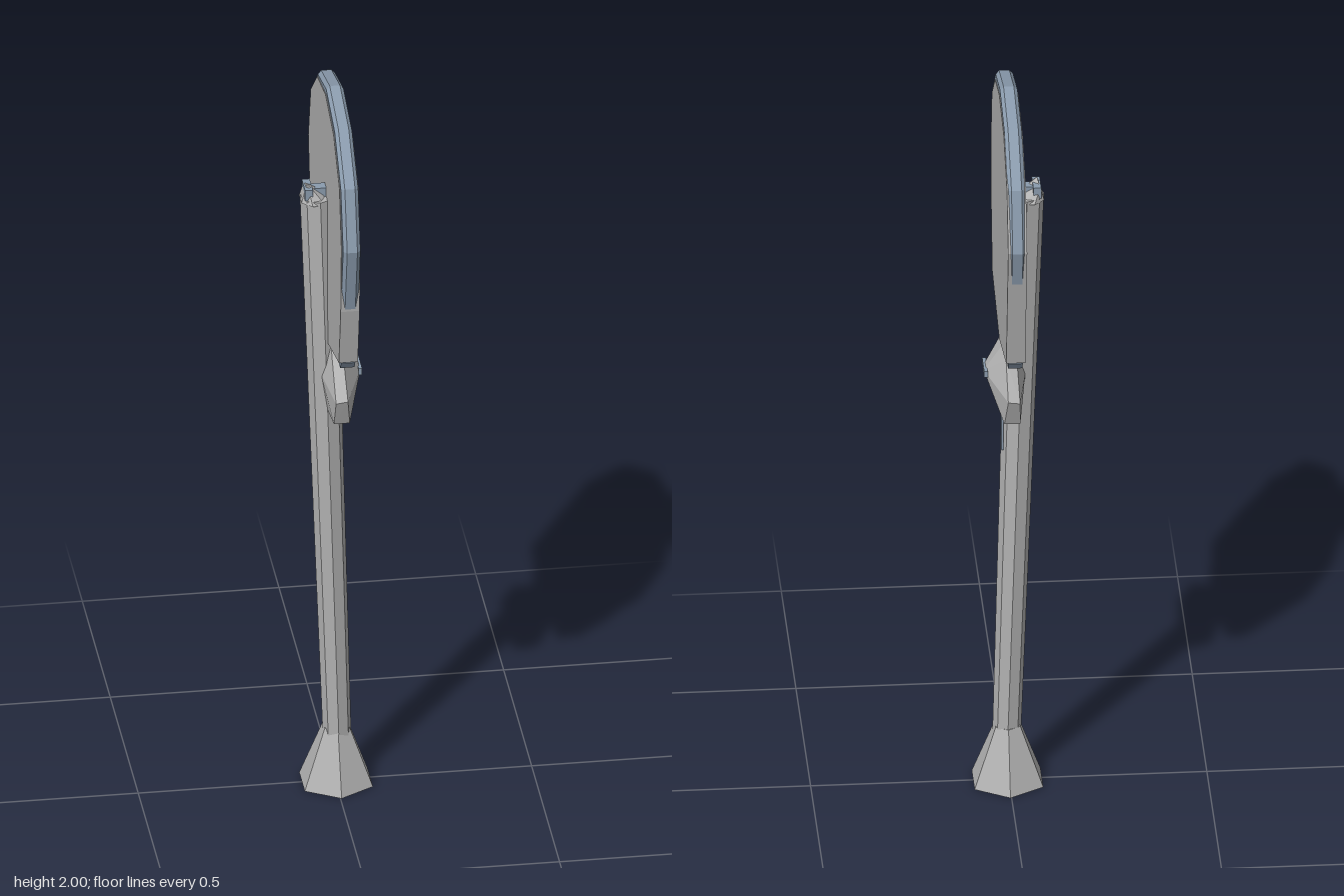
import * as THREE from 'three';
import { ConvexGeometry } from 'three/addons/geometries/ConvexGeometry.js';

export function createModel() {
  const group = new THREE.Group();
  const grey = new THREE.MeshStandardMaterial({ color: 0xb2b2b2, flatShading: true });
  grey.name = 'weathered grey';
  const steel = new THREE.MeshStandardMaterial({ color: 0x8b9cae, flatShading: true });
  steel.name = 'blue steel';

  const add = (name, geometry, material, x = 0, y = 0, z = 0) => {
    const mesh = new THREE.Mesh(geometry, material);
    mesh.name = name;
    mesh.position.set(x, y, z);
    group.add(mesh);
    return mesh;
  };

  // Extrude a (z, y) outline across x, centred at x = 0
  const slab = (points, depth, bevel = 0) => {
    const shape = new THREE.Shape(points.map(([z, y]) => new THREE.Vector2(z, y)));
    const geometry = new THREE.ExtrudeGeometry(shape, {
      depth, bevelEnabled: bevel > 0, bevelThickness: bevel,
      bevelSize: bevel, bevelOffset: -bevel, bevelSegments: 1,
    });
    return geometry.translate(0, 0, -depth / 2).rotateY(-Math.PI / 2);
  };

  // Flared six-sided foot
  add('foot', new THREE.CylinderGeometry(0.036, 0.1, 0.16, 6), grey, 0.003, 0.08, 0);

  // Leaning pole, slightly wider at the top
  const bottom = new THREE.Vector3(0.005, 0.13, 0.003);
  const top = new THREE.Vector3(-0.043, 1.69, 0);
  const axis = top.clone().sub(bottom);
  const pole = add('pole', new THREE.CylinderGeometry(0.046, 0.036, axis.length(), 8), grey);
  pole.position.copy(bottom).addScaledVector(axis, 0.5);
  pole.quaternion.setFromUnitVectors(new THREE.Vector3(0, 1, 0), axis.normalize());

  // Pole cap: broken peak, steel core and the bolt into the panel
  add('poleCap', new ConvexGeometry([
    [-0.088, 1.68, 0.022], [-0.088, 1.68, -0.022], [-0.062, 1.68, 0.046], [-0.062, 1.68, -0.046],
    [-0.03, 1.68, 0.04], [-0.03, 1.68, -0.04], [-0.072, 1.73, 0.01], [-0.078, 1.715, -0.02],
    [-0.03, 1.7, 0],
  ].map((p) => new THREE.Vector3(...p))), grey);
  add('poleCore', new THREE.BoxGeometry(0.02, 0.03, 0.06), steel, -0.07, 1.705, 0);
  add('panelBolt', new THREE.BoxGeometry(0.05, 0.03, 0.028), steel, -0.045, 1.7, 0);

  // Steel rim around the upper arc
  add('rim', slab([
    [0.272, 1.5], [0.312, 1.69], [0.27, 1.85], [0.155, 1.96], [0, 2],
    [-0.155, 1.96], [-0.27, 1.85], [-0.312, 1.69], [-0.268, 1.5],
  ], 0.026, 0.009), steel);

  // Grey sign panel
  add('panel', slab([
    [0, 1.976], [0.145, 1.94], [0.25, 1.842], [0.284, 1.69], [0.273, 1.5], [0.24, 1.335],
    [0, 1.272], [-0.24, 1.335], [-0.308, 1.69], [-0.264, 1.846], [-0.15, 1.946],
  ], 0.048), grey);

  // Steel corners peeking out under the panel
  for (const s of [-1, 1]) {
    add('rimCorner', slab([
      [s * 0.238, 1.332], [s * 0.222, 1.31], [s * 0.18, 1.31], [s * 0.16, 1.325], [s * 0.2, 1.345],
    ], 0.036), steel);
  }

  // Neck joining panel and collar
  add('neck', new THREE.BoxGeometry(0.03, 0.08, 0.04), steel, 0, 1.26, 0);

  // Faceted collar below the panel
  const collar = [[0.012, 1.28, 0.03], [-0.015, 1.28, 0.03], [0.064, 1.19, 0.012], [0.045, 1.185, 0.05],
    [-0.04, 1.19, 0.03], [0.012, 1.17, 0.15], [-0.018, 1.165, 0.148], [0.02, 1.095, 0.125],
    [-0.02, 1.095, 0.125], [0.026, 1.09, 0.03], [-0.025, 1.09, 0.03], [0.012, 1.25, 0.07]];
  add('collar', new ConvexGeometry(collar.flatMap(([x, y, z]) =>
    [new THREE.Vector3(x, y, z), new THREE.Vector3(x, y, -z)])), grey);

  // Thin steel band on the collar's ridge
  add('collarBand', new THREE.BoxGeometry(0.009, 0.018, 0.07), steel, 0.06, 1.19, 0);

  // Bare steel streak on the pole
  add('poleStreak', new THREE.BoxGeometry(0.006, 0.14, 0.02), steel, 0.017, 1.03, -0.008);
  return group;
}
